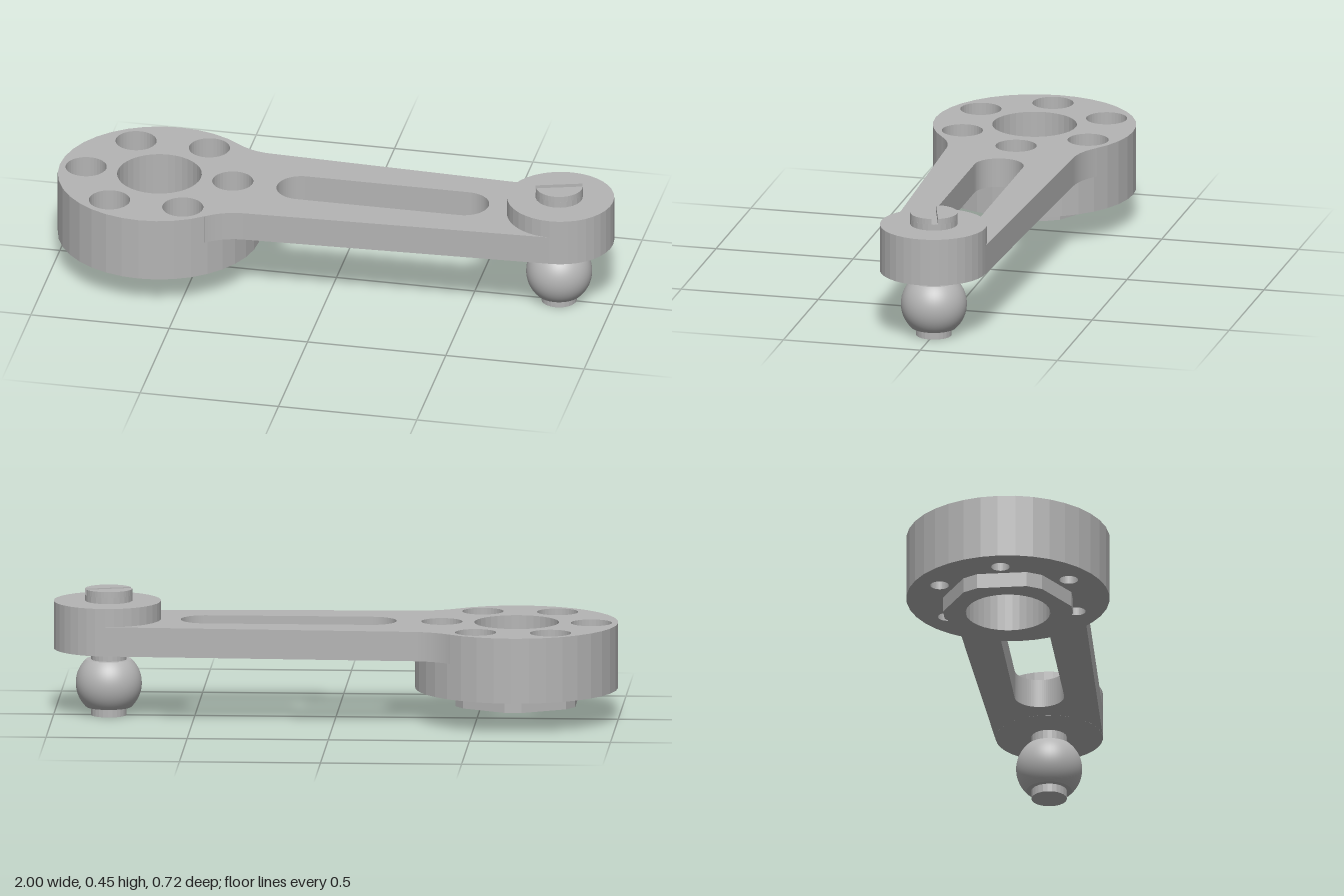
import * as THREE from 'three';

const HUB_X = -0.64, HUB_R = 0.36, TIP_X = 0.81, TIP_R = 0.19;
const HOLES = Array.from({ length: 6 }, (_, i) => i * Math.PI / 3);

export function createModel() {
  const group = new THREE.Group();
  const metal = new THREE.MeshStandardMaterial({ color: 0xb4b4b4 });
  metal.name = 'grey metal';

  const add = (name, geometry, x = 0, y = 0) => {
    const mesh = new THREE.Mesh(geometry, metal);
    mesh.name = name;
    mesh.position.set(x, y, 0);
    group.add(mesh);
    return mesh;
  };
  const circle = (r, x = 0, y = 0, Type = THREE.Path) => new Type().absarc(x, y, r, 0, Math.PI * 2, false);
  // Plan outline raised from y0 to y1
  const slab = (name, shape, y0, y1, x = 0, curveSegments = 18) => {
    const g = new THREE.ExtrudeGeometry(shape, { depth: y1 - y0, bevelEnabled: false, curveSegments });
    g.rotateX(-Math.PI / 2);
    return add(name, g, x, y0);
  };

  // Round hub: upper layer has wide counterbores, lower layer narrow bolt holes
  const hubLayer = (name, holeR, y0, y1) => {
    const s = circle(HUB_R, 0, 0, THREE.Shape);
    s.holes.push(circle(0.15));
    for (const a of HOLES) s.holes.push(circle(holeR, 0.265 * Math.cos(a), 0.265 * Math.sin(a)));
    slab(name, s, y0, y1, HUB_X);
  };
  hubLayer('hubUpper', 0.073, 0.165, 0.345);
  hubLayer('hubLower', 0.033, 0.112, 0.165);

  // Six-sided collar with clipped corners below the hub
  const pts = [];
  for (const a of HOLES) {
    for (const d of [-0.393, 0.393]) pts.push(new THREE.Vector2(0.23 * Math.cos(a + d), 0.23 * Math.sin(a + d)));
  }
  const collar = new THREE.Shape(pts);
  collar.holes.push(circle(0.15));
  slab('hexCollar', collar, 0.057, 0.112, HUB_X);

  // Tapered arm, filleted into the hub, with a long slot
  const a0 = 0.907;
  const hx = HUB_X + HUB_R * Math.cos(a0), hy = HUB_R * Math.sin(a0);
  const arm = new THREE.Shape();
  arm.moveTo(hx, hy);
  arm.quadraticCurveTo(-0.36, 0.236, -0.29, 0.232);
  arm.lineTo(TIP_X, TIP_R);
  arm.absarc(TIP_X, 0, TIP_R, Math.PI / 2, Math.PI * 1.5, false);
  arm.lineTo(-0.29, -0.232);
  arm.quadraticCurveTo(-0.36, -0.236, hx, -hy);
  arm.absarc(HUB_X, 0, HUB_R - 0.002, -a0, a0, false);
  const slot = new THREE.Path();
  slot.absarc(-0.127, 0, 0.088, Math.PI / 2, Math.PI * 1.5, false);
  slot.absarc(0.462, 0, 0.088, -Math.PI / 2, Math.PI / 2, false);
  slot.closePath();
  arm.holes.push(slot);
  slab('arm', arm, 0.24, 0.345);

  // Raised boss at the arm tip
  slab('tipBoss', circle(TIP_R, 0, 0, THREE.Shape), 0.24, 0.41, TIP_X);

  // Screw head: solid base and two segments either side of the driver slot
  const headR = 0.084, e = Math.asin(0.011 / headR);
  slab('screwHeadBase', circle(headR, 0, 0, THREE.Shape), 0.41, 0.432, TIP_X - 0.005, 12);
  for (const turn of [0, Math.PI]) {
    const half = new THREE.Shape();
    half.absarc(0, 0, headR, e, Math.PI - e, false);
    half.closePath();
    slab('screwHeadHalf', half, 0.432, 0.453, TIP_X - 0.005, 10).rotation.y = 0.29 + turn;
  }

  // Ball stud: pin, truncated ball and its flat ends
  const ballX = TIP_X - 0.005, ballY = 0.115, ballR = 0.117;
  slab('pin', circle(0.063, 0, 0, THREE.Shape), 0, 0.24, ballX, 12);
  const cut = Math.acos(0.085 / ballR);
  add('ball', new THREE.SphereGeometry(ballR, 48, 24, 0, Math.PI * 2, cut, Math.PI - 2 * cut), ballX, ballY);
  add('ballFlats', new THREE.CylinderGeometry(0.0804, 0.0804, 0.17, 48), ballX, ballY);

  return group;
}
